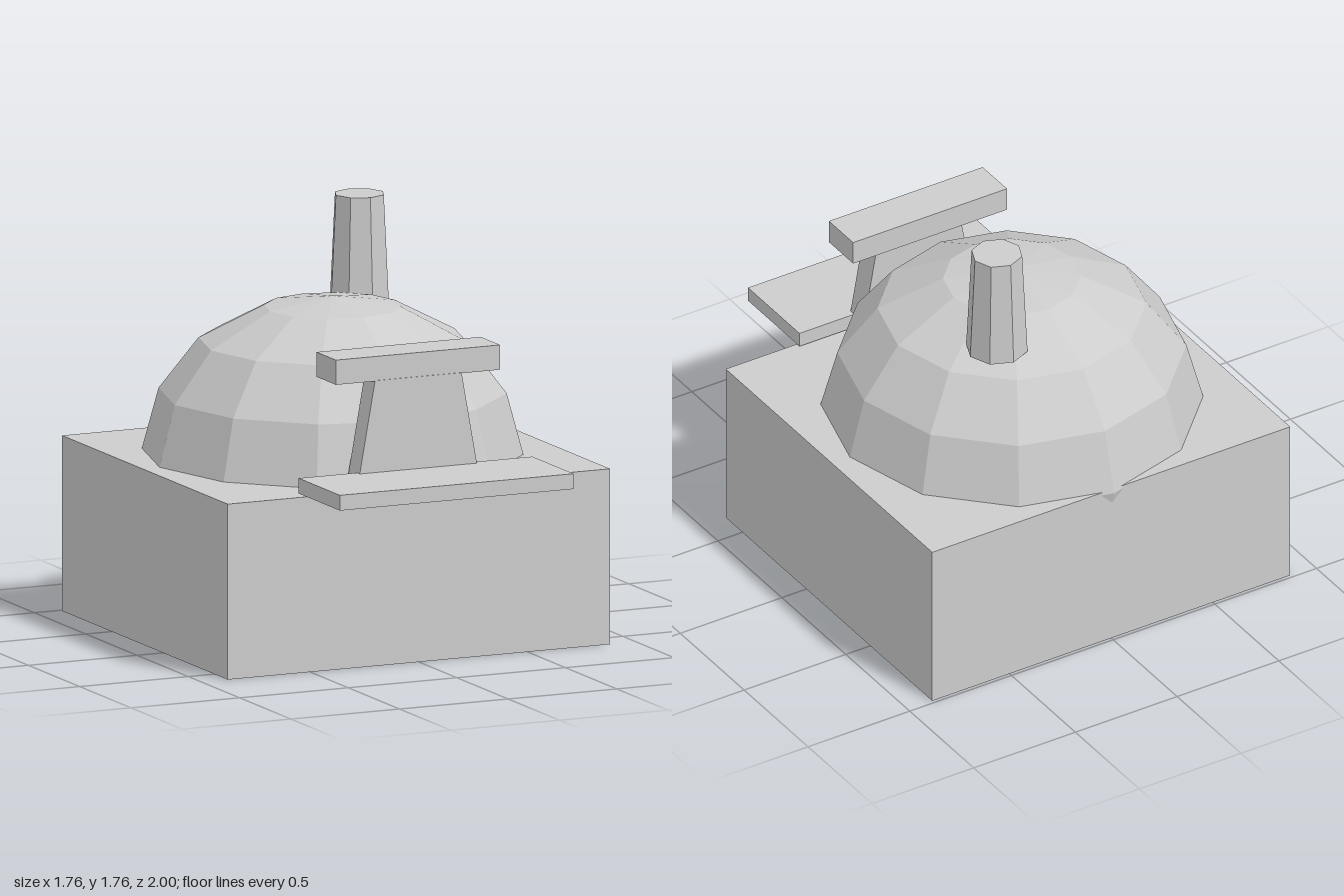
import * as THREE from 'three';

export function createModel() {
  const model = new THREE.Group();
  model.name = 'domedOven';
  const clay = new THREE.MeshStandardMaterial({ color: 0xcccccc });
  clay.name = 'pale grey';
  clay.flatShading = true;

  const add = (name, geometry, x, y, z) => {
    const mesh = new THREE.Mesh(geometry, clay);
    mesh.name = name;
    mesh.position.set(x, y, z);
    model.add(mesh);
    return mesh;
  };
  // Box given by its half width and its y and z limits
  const addBox = (name, halfX, y0, y1, z0, z1) =>
    add(name, new THREE.BoxGeometry(halfX * 2, y1 - y0, z1 - z0), 0, (y0 + y1) / 2, (z0 + z1) / 2);

  // Square base block
  addBox('base', 0.88, 0, 0.745, -0.985, 0.63);

  // Twelve-sided squashed ball, its lower half sunk into the base
  const upper = [[0.8, 0], [0.727, 0.27], [0.56, 0.487], [0.287, 0.63], [0, 0.672]];
  const lower = upper.slice(1).reverse().map(([r, y]) => [r, -y]);
  const profile = [...lower, ...upper].map(([r, y]) => new THREE.Vector2(r, y));
  add('dome', new THREE.LatheGeometry(profile, 12), -0.005, 0.733, -0.2);

  // Eight-sided tapering chimney
  add('chimney', new THREE.CylinderGeometry(0.108, 0.131, 0.473, 8), 0.268, 1.5235, -0.517);

  // Oven door, narrowing towards the top
  const doorShape = new THREE.Shape([
    new THREE.Vector2(-0.283, 0.745), new THREE.Vector2(0.283, 0.745),
    new THREE.Vector2(0.199, 1.21), new THREE.Vector2(-0.199, 1.21),
  ]);
  add('door', new THREE.ExtrudeGeometry(doorShape, { depth: 0.105, bevelEnabled: false }), 0, 0, 0.52);

  // Lintel above the door and shelf in front of it
  addBox('lintel', 0.378, 1.207, 1.312, 0.432, 0.622);
  addBox('shelf', 0.538, 0.755, 0.82, 0.597, 1);

  return model;
}
